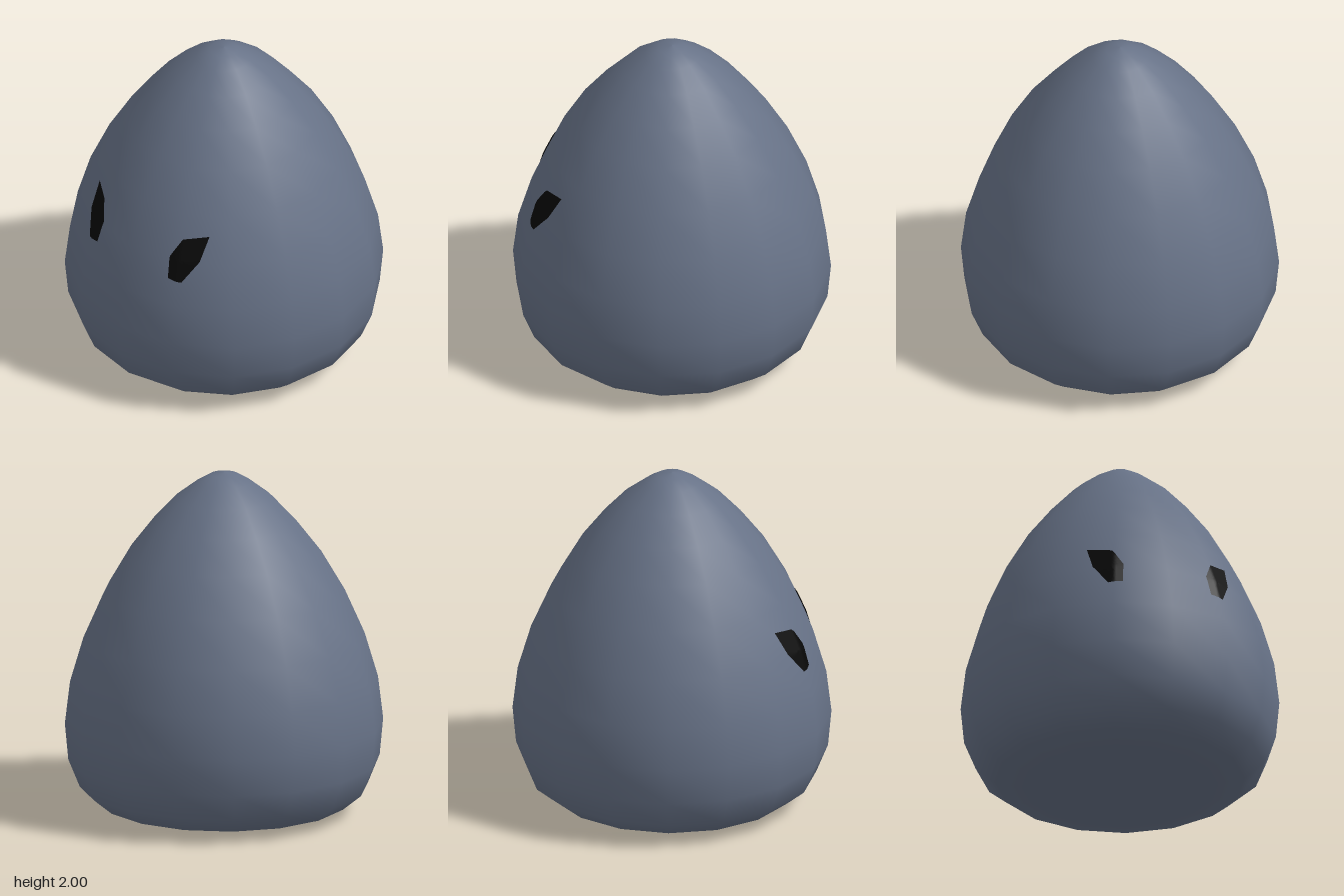
import * as THREE from 'three';

const SIDES = 16;
// Body profile: [radius, height] from the base up to the tip
const PROFILE = [
  [0, 0], [0.2, 0], [0.39, 0.002], [0.56, 0.013], [0.72, 0.05], [0.83, 0.14], [0.897, 0.305],
  [0.917, 0.52], [0.887, 0.77], [0.81, 1.03], [0.695, 1.29], [0.56, 1.52],
  [0.42, 1.7], [0.285, 1.845], [0.16, 1.94], [0.08, 1.987], [0, 2],
];

// Outline of the left eye as seen from the front, counter-clockwise
const EYE = [[0.42, 1.18], [0.3, 1.155], [0.253, 1.05], [0.27, 0.922], [0.35, 0.912], [0.413, 1.04]];

function radiusAt(y) {
  const i = PROFILE.findIndex((p) => p[1] > y);
  const [r0, y0] = PROFILE[i - 1];
  const [r1, y1] = PROFILE[i];
  return r0 + ((r1 - r0) * (y - y0)) / (y1 - y0);
}

// Front depth of the faceted body at a given x and y
function frontDepth(x, y) {
  const apothem = radiusAt(y) * Math.cos(Math.PI / SIDES);
  let z = Infinity;
  for (let k = 0; k < 3; k++) {
    const a = ((2 * k + 1) * Math.PI) / SIDES;
    z = Math.min(z, (apothem - Math.abs(x) * Math.sin(a)) / Math.cos(a));
  }
  return z;
}

// Eye patch: concentric rings of the outline, laid on the body surface
function eyeGeometry(side) {
  const rings = 6, steps = 5, n = EYE.length * steps;
  const cx = 0.335, cy = 1.04, lift = 0.007;
  const pos = [], index = [];
  for (let r = 0; r <= rings; r++) {
    for (let i = 0; i < n; i++) {
      const a = EYE[Math.floor(i / steps)];
      const b = EYE[(Math.floor(i / steps) + 1) % EYE.length];
      const t = (i % steps) / steps, s = r / rings;
      const x = cx + (a[0] + (b[0] - a[0]) * t - cx) * s;
      const y = cy + (a[1] + (b[1] - a[1]) * t - cy) * s;
      pos.push(side * x, y, frontDepth(x, y) + lift);
      if (r < rings) {
        const p = r * n + i, q = r * n + ((i + 1) % n);
        if (side > 0) index.push(p, p + n, q + n, p, q + n, q);
        else index.push(p, q + n, p + n, p, q, q + n);
      }
    }
  }
  const geo = new THREE.BufferGeometry();
  geo.setAttribute('position', new THREE.Float32BufferAttribute(pos, 3));
  geo.setIndex(index);
  geo.computeVertexNormals();
  return geo;
}

export function createModel() {
  const model = new THREE.Group();

  // Smooth pointed body
  const body = new THREE.Mesh(
    new THREE.LatheGeometry(PROFILE.map(([r, y]) => new THREE.Vector2(r, y)), SIDES),
    new THREE.MeshStandardMaterial({ color: 0x677287 }),
  );
  body.name = 'body';
  model.add(body);

  // Mirrored dark eyes
  const dark = new THREE.MeshStandardMaterial({ color: 0x080808, side: THREE.DoubleSide });
  for (const side of [1, -1]) {
    const eye = new THREE.Mesh(eyeGeometry(side), dark);
    eye.name = side > 0 ? 'leftEye' : 'rightEye';
    model.add(eye);
  }
  return model;
}
